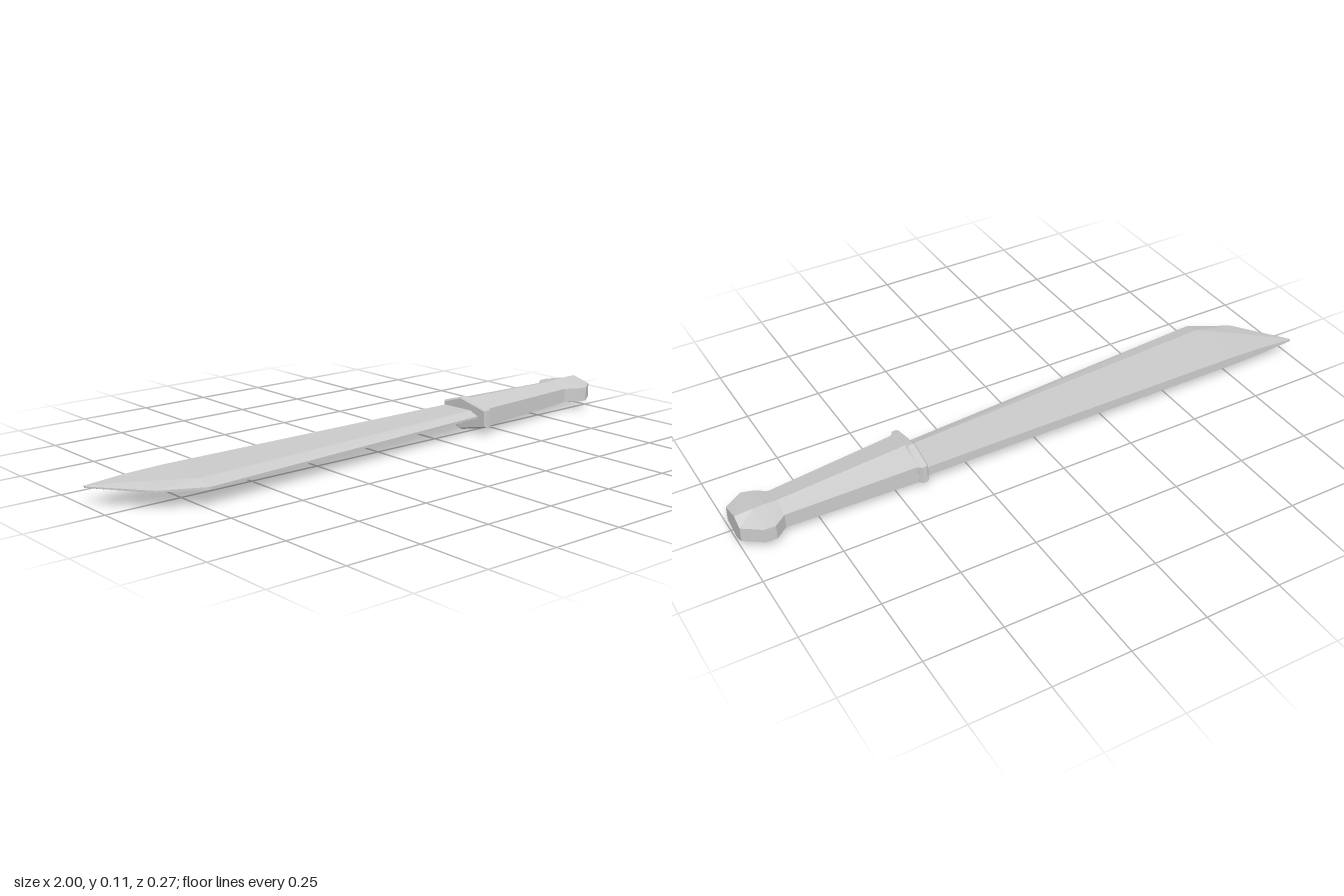
import * as THREE from 'three';

const MID_Y = 0.058;

// Loft of six-sided sections along x. Each row: x, then (z, half thickness)
// for the back edge, the middle ridge and the front edge.
function loft(name, rows, material) {
  const sections = rows.map(([x, z0, h0, z1, h1, z2, h2]) => [
    [x, h0, z0], [x, h1, z1], [x, h2, z2],
    [x, -h2, z2], [x, -h1, z1], [x, -h0, z0],
  ]);
  const positions = sections.flat(2);
  const index = [];
  for (let s = 0; s < rows.length - 1; s++) {
    for (let j = 0; j < 6; j++) {
      const a = s * 6 + j, b = s * 6 + (j + 1) % 6;
      index.push(a, b, a + 6, b, b + 6, a + 6);
    }
  }
  // End caps
  const last = (rows.length - 1) * 6;
  for (let j = 1; j < 5; j++) {
    index.push(0, j + 1, j);
    index.push(last, last + j, last + j + 1);
  }
  const indexed = new THREE.BufferGeometry();
  indexed.setAttribute('position', new THREE.Float32BufferAttribute(positions, 3));
  indexed.setIndex(index);
  const geometry = indexed.toNonIndexed();
  geometry.computeVertexNormals();
  const mesh = new THREE.Mesh(geometry, material);
  mesh.name = name;
  mesh.position.y = MID_Y;
  return mesh;
}

export function createModel() {
  const group = new THREE.Group();
  group.name = 'machete';
  const material = new THREE.MeshStandardMaterial({ color: 0xcccccc, flatShading: true });

  // Blade: flat spine, broad face, bevel down to a thin cutting edge
  group.add(loft('blade', [
    [-1.0, -0.112, 0.003, -0.108, 0.003, -0.104, 0.002],
    [-0.875, -0.112, 0.012, -0.015, 0.013, 0.062, 0.003],
    [-0.74, -0.112, 0.016, 0.082, 0.018, 0.135, 0.004],
    [0.42, -0.112, 0.016, 0.01, 0.018, 0.045, 0.004],
  ], material));

  // Guard: faceted collar with a chamfered rim
  group.add(loft('guard', [
    [0.402, -0.115, 0.026, -0.035, 0.051, 0.078, 0.026],
    [0.408, -0.122, 0.03, -0.035, 0.057, 0.086, 0.03],
    [0.425, -0.122, 0.03, -0.035, 0.057, 0.086, 0.03],
    [0.433, -0.113, 0.028, -0.035, 0.051, 0.074, 0.028],
  ], material));

  // Grip tapering into the flared pommel
  group.add(loft('handle', [
    [0.42, -0.112, 0.03, -0.022, 0.052, 0.07, 0.03],
    [0.865, -0.105, 0.024, -0.05, 0.04, 0.02, 0.024],
    [0.905, -0.137, 0.024, -0.052, 0.043, 0.045, 0.024],
    [0.94, -0.137, 0.024, -0.054, 0.043, 0.055, 0.024],
    [1.0, -0.095, 0.024, -0.057, 0.042, 0.014, 0.024],
  ], material));

  return group;
}
